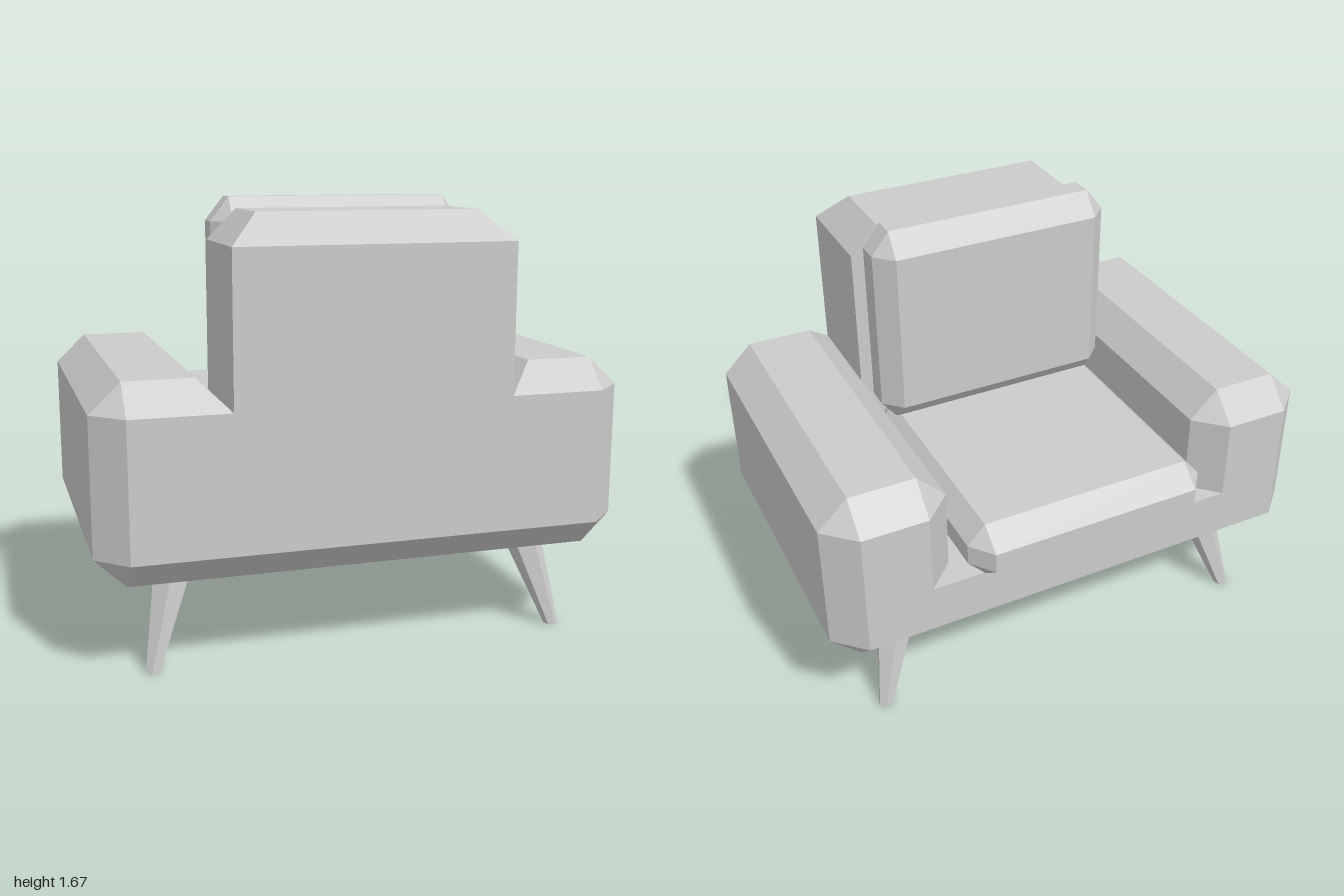
import * as THREE from 'three';
import { ConvexGeometry } from 'three/addons/geometries/ConvexGeometry.js';

const material = new THREE.MeshStandardMaterial({ color: 0xcccccc, flatShading: true });

function addMesh(group, name, geometry) {
  const mesh = new THREE.Mesh(geometry, material);
  mesh.name = name;
  group.add(mesh);
  return mesh;
}

// Convex solid from horizontal layers: [y, [[x, z], ...]]
function layered(layers) {
  return new ConvexGeometry(
    layers.flatMap(([y, ring]) => ring.map(([x, z]) => new THREE.Vector3(x, y, z)))
  );
}

// Box with all edges cut flat; size, cut and centre are [x, y, z]
function chamferedBox(size, cut, centre) {
  const points = [];
  for (const sx of [-1, 1]) for (const sy of [-1, 1]) for (const sz of [-1, 1]) {
    for (let full = 0; full < 3; full++) {
      const p = [sx, sy, sz].map((s, i) =>
        centre[i] + s * (size[i] / 2 - (i === full ? 0 : cut[i])));
      points.push(new THREE.Vector3(...p));
    }
  }
  return new ConvexGeometry(points);
}

// Tapered six-sided leg, splayed outward towards its corner
function legGeometry(sx, sz) {
  const h = 0.36;
  const start = THREE.MathUtils.degToRad(sx * sz > 0 ? 15 : 45);
  const geometry = new THREE.CylinderGeometry(0.079, 0.029, h, 6, 1, false, start);
  const pos = geometry.attributes.position;
  for (let i = 0; i < pos.count; i++) {
    const y = pos.getY(i) + h / 2;
    const splay = 0.1 * (1 - y / h);
    pos.setXYZ(i, pos.getX(i) + sx * (0.695 + splay), y, pos.getZ(i) + 0.04 + sz * (0.43 + splay));
  }
  geometry.computeVertexNormals();
  return geometry;
}

export function createModel() {
  const group = new THREE.Group();
  group.name = 'armchair';
  const deck = 0.645;

  // Base, with cut corners and a bevelled underside
  const mirror = (ring) => ring.flatMap(([x, z]) => [[x, z], [-x, z]]);
  const outline = mirror([[0.885, -0.635], [1, -0.525], [1, 0.62], [0.885, 0.73]]);
  addMesh(group, 'base', layered([
    [0.345, mirror([[0.885, -0.525], [0.885, 0.62]])],
    [0.455, outline],
    [deck, outline],
  ]));

  // Arms, running flush into the rear panel
  for (const s of [1, -1]) {
    const side = (ring) => ring.map(([x, z]) => [s * x, z]);
    const wall = side([[0.52, -0.525], [0.63, -0.635], [0.885, -0.635], [1, -0.525],
      [1, 0.62], [0.885, 0.73], [0.52, 0.73]]);
    const top = side([[0.63, -0.525], [0.885, -0.525], [0.885, 0.62], [0.63, 0.62]]);
    addMesh(group, s > 0 ? 'leftArm' : 'rightArm', layered([[deck, wall], [0.965, wall], [1.075, top]]));
  }

  // Backrest, with bevelled top and plain front
  const panel = mirror([[0.52, 0.32], [0.52, 0.73]]);
  addMesh(group, 'backrest', layered([
    [deck, panel], [1.525, panel], [1.635, mirror([[0.41, 0.32], [0.41, 0.62]])],
  ]));

  // Loose cushions
  addMesh(group, 'seatCushion',
    chamferedBox([0.984, 0.23, 1.05], [0.07, 0.075, 0.09], [0, 0.76, -0.205]));
  addMesh(group, 'backCushion',
    chamferedBox([0.984, 0.83, 0.23], [0.07, 0.09, 0.07], [0, 1.26, 0.21]));

  // Legs
  for (const sx of [1, -1]) for (const sz of [1, -1]) {
    addMesh(group, (sz < 0 ? 'seatSide' : 'rearSide') + (sx > 0 ? 'LeftLeg' : 'RightLeg'), legGeometry(sx, sz));
  }
  return group;
}
